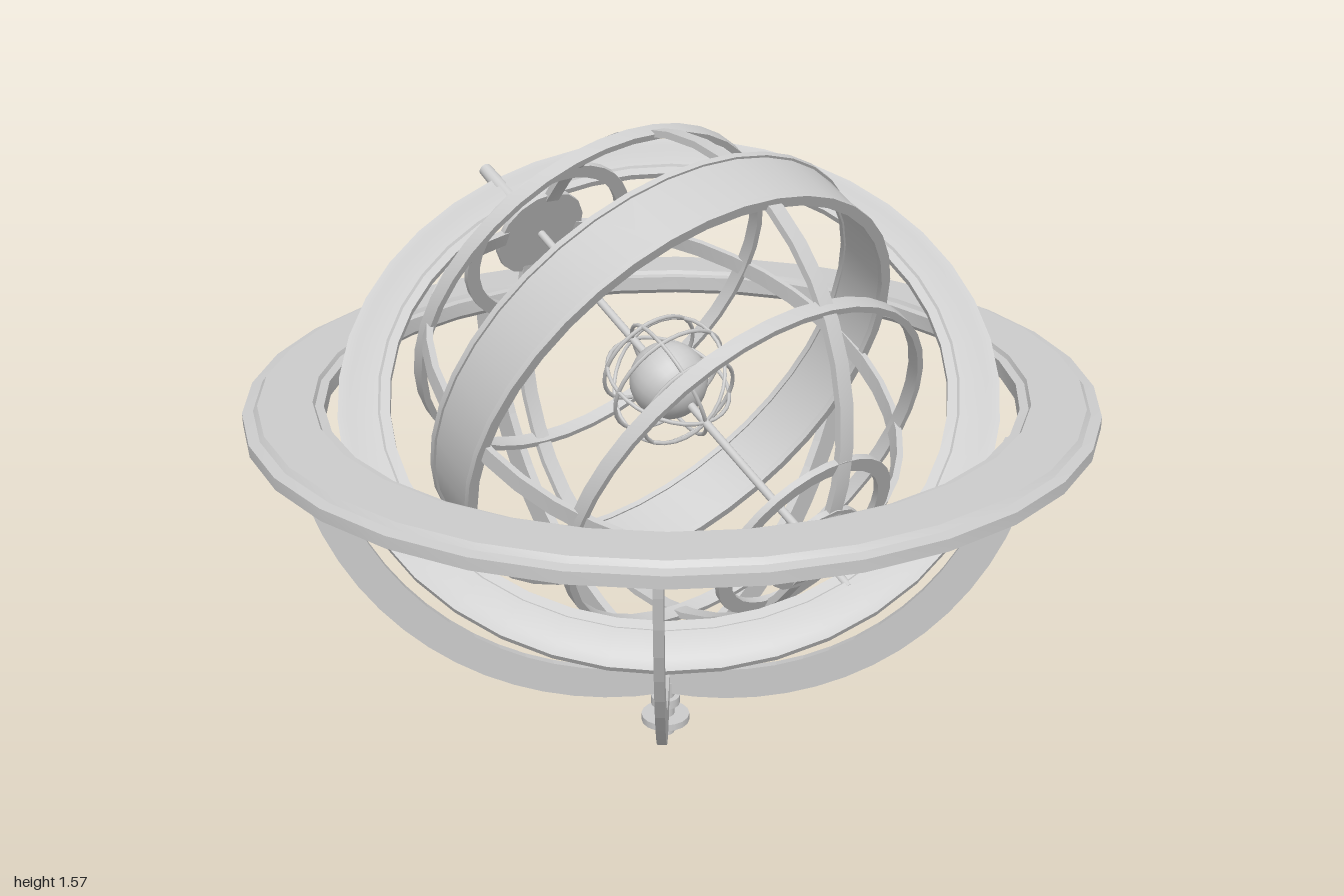
import * as THREE from 'three';
import { toCreasedNormals } from 'three/addons/utils/BufferGeometryUtils.js';

const rad = THREE.MathUtils.degToRad;
const material = new THREE.MeshStandardMaterial({ color: 0xcccccc });

function add(parent, geometry, name) {
  const mesh = new THREE.Mesh(geometry, material);
  mesh.name = name;
  parent.add(mesh);
  return mesh;
}

// Turns a closed [radius, height] profile, listed counter-clockwise, around y.
function turn(profile, segments) {
  const points = [...profile, profile[0]].map(([r, y]) => new THREE.Vector2(r, y));
  return toCreasedNormals(new THREE.LatheGeometry(points, segments), 0.5);
}

// Ring of rectangular section centred on height y.
function ring(inner, outer, height, y = 0, segments = 40) {
  const h = height / 2;
  return turn([[outer, y - h], [outer, y + h], [inner, y + h], [inner, y - h]], segments);
}

function rod(parent, radius, from, to, name, tip = radius) {
  const mesh = add(parent, new THREE.CylinderGeometry(tip, radius, to - from, 16), name);
  mesh.position.y = (from + to) / 2;
  return mesh;
}

export function createModel() {
  const model = new THREE.Group();
  model.name = 'armillarySphere';

  // Stand: turned foot and five curved legs
  const stand = new THREE.Group();
  stand.name = 'stand';
  stand.position.set(-0.017, 0, -0.017);
  model.add(stand);
  rod(stand, 0.023, 0, 0.15, 'footStem');
  rod(stand, 0.062, 0.036, 0.054, 'footDisc');
  rod(stand, 0.037, 0.085, 0.108, 'footCollar');

  const arc = new THREE.Shape();
  arc.absarc(0, 0, 0.897, -Math.PI / 2, rad(-5.5), false);
  arc.absarc(0, 0, 0.817, rad(-6), -Math.PI / 2, true);
  const legGeometry = new THREE.ExtrudeGeometry(arc, { depth: 0.022, bevelEnabled: false, curveSegments: 8 });
  legGeometry.translate(0, 1.017, -0.011);
  for (let i = 0; i < 5; i++) {
    add(stand, legGeometry, 'leg').rotation.y = rad(i * 72 - 90);
  }

  // Horizon ring with stepped edges
  const horizon = turn([
    [0.825, -0.03], [0.965, -0.03], [0.975, -0.018], [1, -0.014], [1, 0.014],
    [0.975, 0.018], [0.965, 0.03], [0.84, 0.03], [0.835, 0.02], [0.815, 0.018], [0.815, -0.018],
  ], 32);
  add(model, horizon, 'horizonRing').position.y = 0.955;

  // Tilted meridian ring that carries the polar axis
  const centre = new THREE.Group();
  centre.name = 'sphereAssembly';
  centre.position.set(-0.008, 0.975, -0.013);
  model.add(centre);
  const meridian = turn([
    [0.69, -0.013], [0.75, -0.013], [0.76, -0.008], [0.785, -0.008], [0.785, 0.008], [0.76, 0.008],
    [0.75, 0.013], [0.69, 0.013], [0.685, 0.008], [0.662, 0.008], [0.662, -0.008], [0.685, -0.008],
  ], 40);
  add(centre, meridian, 'meridianRing').rotation.x = rad(32);

  // Celestial sphere: local y is the polar axis
  const sphere = new THREE.Group();
  sphere.name = 'celestialSphere';
  const axis = new THREE.Vector3(-0.58, 0.43, -0.7).normalize();
  const side = new THREE.Vector3(-0.72, 0.03, 0.69);
  side.addScaledVector(axis, -side.dot(axis)).normalize();
  const third = new THREE.Vector3().crossVectors(side, axis);
  sphere.quaternion.setFromRotationMatrix(new THREE.Matrix4().makeBasis(side, axis, third));
  centre.add(sphere);

  // Wide central band with raised lips
  add(sphere, ring(0.583, 0.598, 0.15), 'equatorBand');
  for (const s of [-1, 1]) {
    add(sphere, ring(0.578, 0.604, 0.014, s * 0.075), 'bandLip');
    add(sphere, ring(0.484, 0.5, 0.035, s * 0.32), 'tropicRing');
    add(sphere, ring(0.205, 0.24, 0.016, s * 0.535, 32), 'polarRing');
    rod(sphere, 0.125, s * 0.575 - 0.007, s * 0.575 + 0.007, 'polePlate');
  }

  // Two crossed hoops through the poles
  const hoop = ring(0.578, 0.594, 0.04);
  add(sphere, hoop, 'poleHoop').rotation.x = Math.PI / 2;
  add(sphere, hoop, 'poleHoop').rotation.z = Math.PI / 2;

  // Axis with a thicker, tapered upper end
  rod(sphere, 0.01, -0.7, 0.7, 'axisRod');
  rod(sphere, 0.025, 0.58, 0.84, 'axisPointer', 0.017);

  // Globe within its small wire cage
  add(sphere, new THREE.SphereGeometry(0.094, 24, 16), 'globe');
  const cage = 0.153;
  for (let i = 0; i < 3; i++) {
    add(sphere, new THREE.TorusGeometry(cage, 0.005, 6, 32), 'cageHoop').rotation.y = i * Math.PI / 3;
  }
  for (const y of [-0.083, 0, 0.083]) {
    const circle = add(sphere, new THREE.TorusGeometry(Math.sqrt(cage * cage - y * y), 0.005, 6, 32), 'cageCircle');
    circle.rotation.x = Math.PI / 2;
    circle.position.y = y;
  }

  return model;
}
